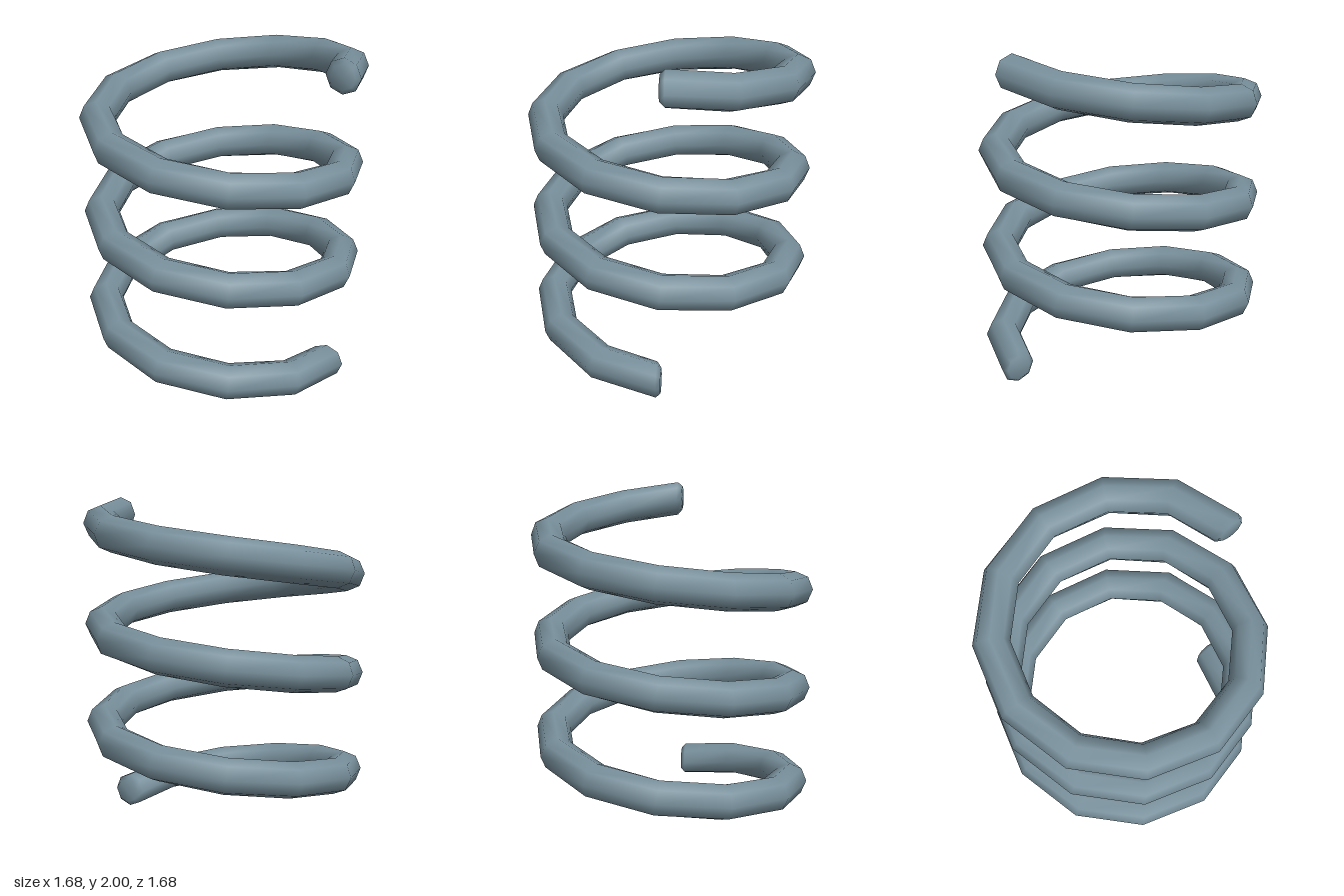
import * as THREE from 'three';

const TURNS = 3, STEPS = 12, SIDES = 8;
const COIL_RADIUS = 0.735, WIRE_RADIUS = 0.105, PITCH = 0.6, START_Y = 0.1;

// Corner k of the coil's centre line
function coilPoint(k) {
  const a = (k / STEPS) * Math.PI * 2;
  return new THREE.Vector3(COIL_RADIUS * Math.cos(a), START_Y + (PITCH * k) / STEPS, COIL_RADIUS * Math.sin(a));
}

function coilGeometry() {
  const positions = [], indices = [];
  const last = TURNS * STEPS;
  const slope = Math.atan(PITCH / (2 * Math.PI * COIL_RADIUS));

  // One octagonal cross-section, tilted with the climb of the coil
  function addRing(centre, angle, radius, tilt) {
    const out = new THREE.Vector3(Math.cos(angle), 0, Math.sin(angle));
    const along = new THREE.Vector3(-Math.sin(angle), 0, Math.cos(angle));
    const up = new THREE.Vector3(0, Math.cos(tilt), 0).addScaledVector(along, -Math.sin(tilt));
    for (let j = 0; j < SIDES; j++) {
      const t = (j / SIDES) * Math.PI * 2;
      const p = centre.clone()
        .addScaledVector(out, radius * Math.cos(t))
        .addScaledVector(up, radius * Math.sin(t));
      positions.push(p.x, p.y, p.z);
    }
  }

  // Bevelled start, coil corners, bevelled end
  const bevel = 0.075;
  const start = coilPoint(0), end = coilPoint(last);
  addRing(start.clone().lerp(coilPoint(1), 0.0), 0, bevel, 0);
  addRing(start.clone().lerp(coilPoint(1), 0.07), 0, WIRE_RADIUS, 0);
  for (let k = 1; k < last; k++) addRing(coilPoint(k), (k / STEPS) * Math.PI * 2, WIRE_RADIUS, slope);
  addRing(end.clone().lerp(coilPoint(last - 1), 0.08), 0, WIRE_RADIUS, 0);
  addRing(end, 0, bevel, 0);

  const rings = positions.length / 3 / SIDES;
  for (let i = 0; i < rings - 1; i++) {
    for (let j = 0; j < SIDES; j++) {
      const a = i * SIDES + j, b = i * SIDES + ((j + 1) % SIDES);
      indices.push(a, b, a + SIDES, b, b + SIDES, a + SIDES);
    }
  }

  // End faces
  const first = rings * SIDES, top = (rings - 1) * SIDES;
  positions.push(...start.toArray(), ...end.toArray());
  for (let j = 0; j < SIDES; j++) {
    const n = (j + 1) % SIDES;
    indices.push(first, n, j, first + 1, top + j, top + n);
  }

  const geometry = new THREE.BufferGeometry();
  geometry.setAttribute('position', new THREE.Float32BufferAttribute(positions, 3));
  geometry.setIndex(indices);
  geometry.computeVertexNormals();
  return geometry;
}

export function createModel() {
  const steel = new THREE.MeshStandardMaterial({ color: 0x78909c });
  steel.name = 'blue grey steel';
  const coil = new THREE.Mesh(coilGeometry(), steel);
  coil.name = 'springCoil';
  const group = new THREE.Group();
  group.name = 'spring';
  group.add(coil);
  return group;
}
